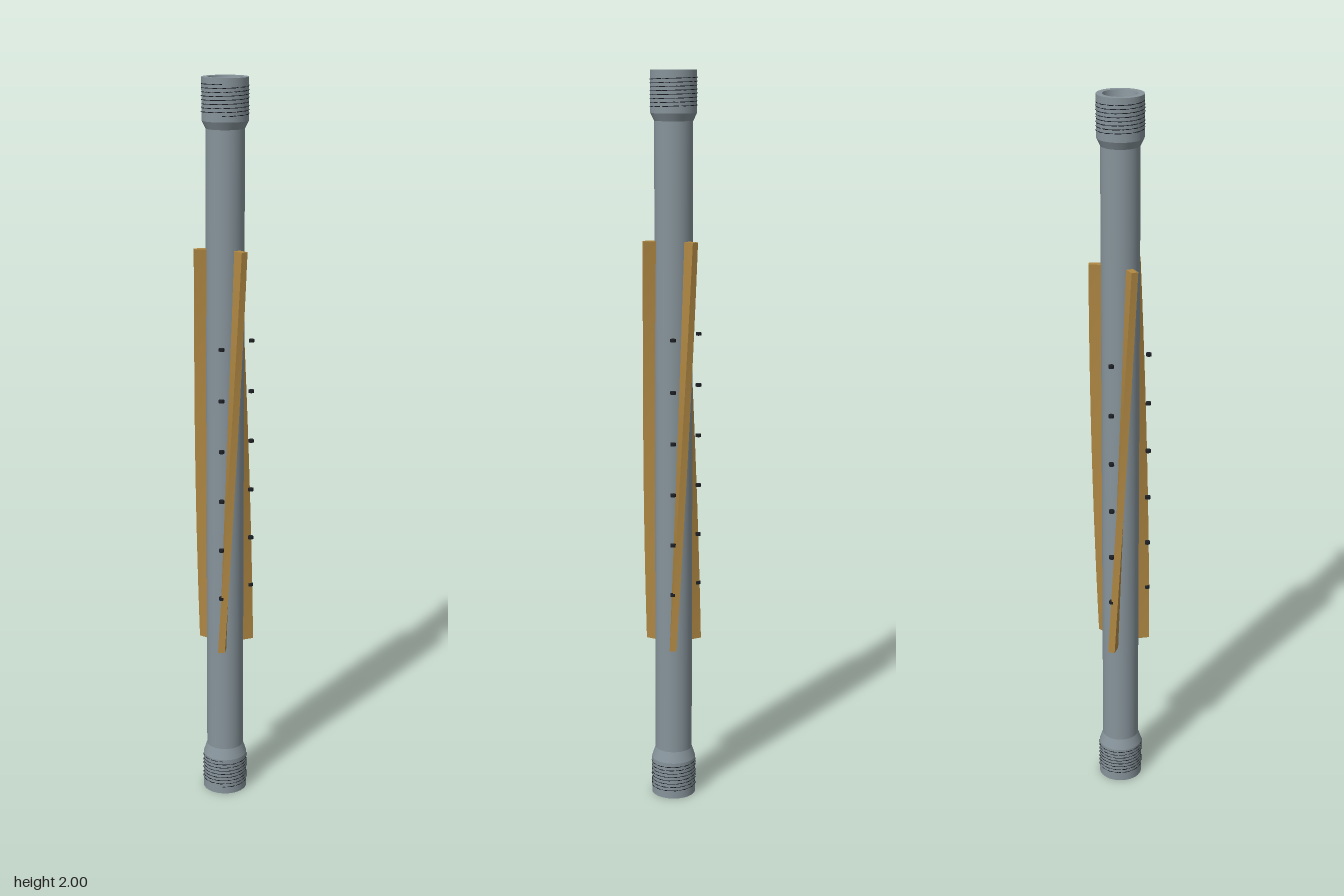
import * as THREE from 'three';
import { mergeGeometries } from 'three/addons/utils/BufferGeometryUtils.js';

const paint = (name, color) => {
  const m = new THREE.MeshStandardMaterial({ color });
  m.name = name;
  return m;
};

// Turned surface with a sharp edge at every profile point
function turned(profile, segments) {
  const bands = [];
  for (let i = 1; i < profile.length; i++) {
    const pair = [profile[i - 1], profile[i]].map(([r, y]) => new THREE.Vector2(r, y));
    bands.push(new THREE.LatheGeometry(pair, segments));
  }
  return mergeGeometries(bands);
}

// Helix of straight chords that breaks the collar surface as short dashes
class ThreadCurve extends THREE.Curve {
  constructor(radius, y0, y1, turns) {
    super();
    Object.assign(this, { radius, y0, y1, turns, arcLengthDivisions: 1000 });
  }
  getPoint(t, target = new THREE.Vector3()) {
    const a = t * this.turns * Math.PI * 2;
    return target.set(
      this.radius * Math.sin(a),
      this.y0 + (this.y1 - this.y0) * t,
      this.radius * Math.cos(a)
    );
  }
}

export function createModel() {
  const steel = paint('steel', 0x87949b);
  const brass = paint('brass', 0xb08843);
  const dark = paint('dark', 0x1c1f24);
  const root = new THREE.Group();
  root.name = 'bladedToolString';

  const add = (name, geometry, material, parent = root) => {
    const mesh = new THREE.Mesh(geometry, material);
    mesh.name = name;
    parent.add(mesh);
    return mesh;
  };

  // Pipe body with end collars and tapered sockets
  add('pipeBody', turned([
    [0.028, 0.09], [0.045, 0], [0.061, 0], [0.061, 0.105], [0.051, 0.135],
    [0.051, 1.87], [0.061, 1.89], [0.061, 2], [0.045, 2], [0.028, 1.91],
  ], 40), steel);

  // Eight-sided through bore, facing inwards
  add('bore', turned([[0.0285, 1.915], [0.0285, 0.085]], 8), steel);

  // Thread marks on both collars
  const turns = 8;
  for (const [name, y0, y1] of [['lowerThread', 0.02, 0.1], ['upperThread', 1.905, 1.985]]) {
    const curve = new ThreadCurve(0.0615, y0, y1, turns);
    add(name, new THREE.TubeGeometry(curve, Math.round(turns * 14.3), 0.0012, 5), dark);
  }

  // Twisted blade: a long bar turned steadily about the pipe axis
  const y0 = 0.445, y1 = 1.56, twist = Math.PI / 4;
  const bladeGeometry = new THREE.BoxGeometry(0.019, y1 - y0, 0.037, 1, 28, 1);
  bladeGeometry.translate(0, (y0 + y1) / 2, 0.0635);
  const p = bladeGeometry.attributes.position;
  const up = new THREE.Vector3(0, 1, 0), v = new THREE.Vector3();
  for (let i = 0; i < p.count; i++) {
    v.fromBufferAttribute(p, i);
    v.applyAxisAngle(up, twist * (v.y - y0) / (y1 - y0));
    p.setXYZ(i, v.x, v.y, v.z);
  }
  bladeGeometry.computeVertexNormals();

  // Three blades, each with an upright row of small studs
  const studGeometry = new THREE.CylinderGeometry(0.0075, 0.0075, 0.008, 12);
  for (let k = 0; k < 3; k++) {
    const unit = new THREE.Group();
    unit.name = 'bladeUnit' + (k + 1);
    unit.rotation.y = k * Math.PI * 2 / 3;
    add('blade', bladeGeometry, brass, unit);
    for (let j = 0; j < 6; j++) {
      add('stud', studGeometry, dark, unit).position.set(0, 0.605 + j * 0.14, 0.077);
    }
    root.add(unit);
  }
  return root;
}
